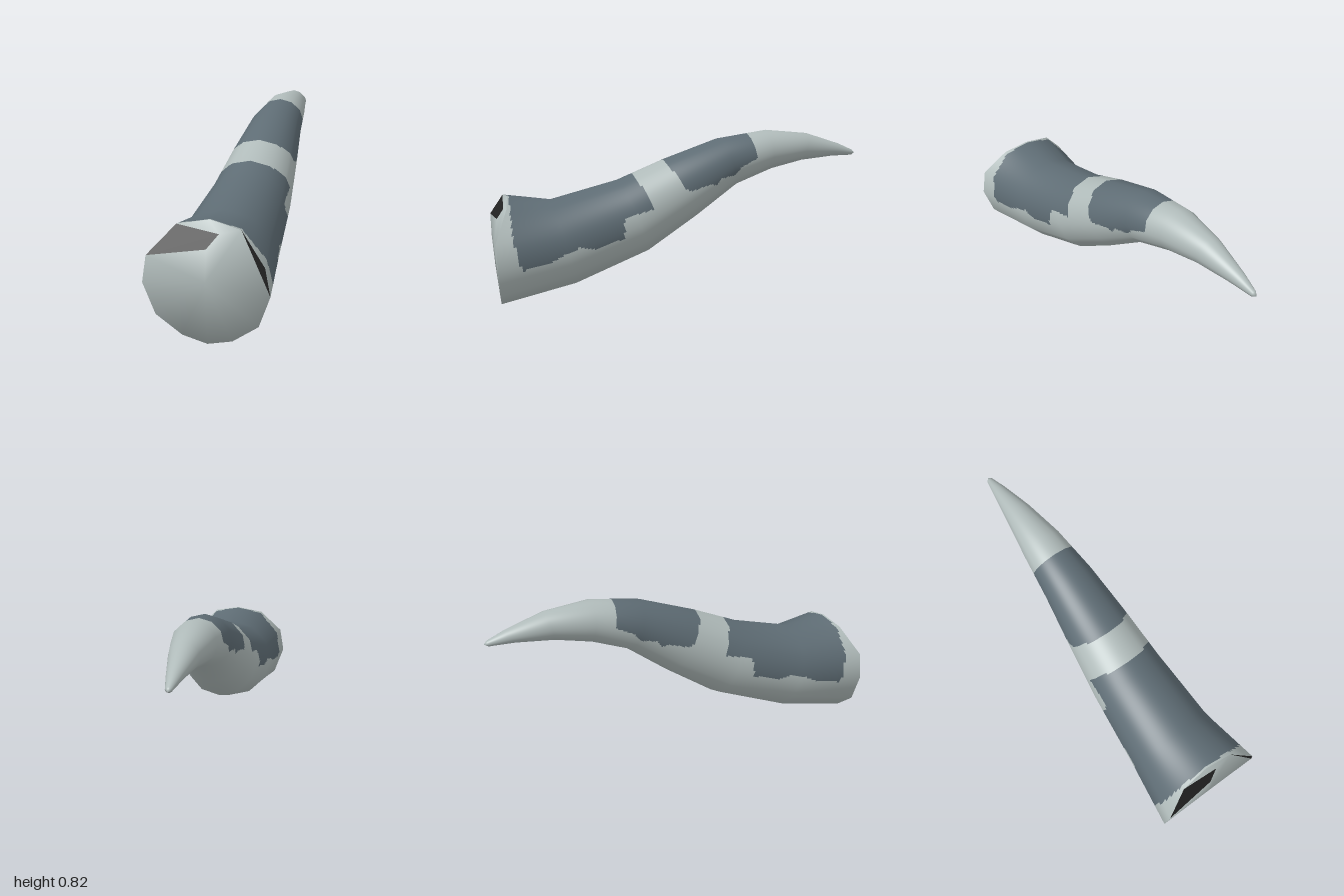
import * as THREE from 'three';

const SIDES = 12, ALONG = 24, AROUND = 12;

// Tail cross-sections: [top z, top y, bottom z, bottom y, half width]
const SECTIONS = [
  [0.92, 0.56, 0.985, 0, 0.288],
  [0.70, 0.525, 0.60, 0.075, 0.238],
  [0.35, 0.605, 0.21, 0.215, 0.205],
  [0.10, 0.70, -0.06, 0.385, 0.176],
  [-0.20, 0.795, -0.28, 0.54, 0.142],
  [-0.46, 0.825, -0.48, 0.61, 0.113],
  [-0.70, 0.795, -0.66, 0.645, 0.075],
  [-0.90, 0.725, -0.85, 0.658, 0.038],
  [-0.985, 0.685, -0.98, 0.656, 0.016],
  [-1, 0.668, -1, 0.668, 0],
];

// Half of the base rim, from bottom to top: [x, y]
const RIM = [[0, 0], [0.115, 0.03], [0.235, 0.12], [0.288, 0.27], [0.265, 0.40], [0.145, 0.532], [0, 0.56]];

// Outlines of the two saddle patches, seen from the side: [z, y]
const PATCHES = [
  [[0.915, 0.7], [0.915, 0.54], [0.92, 0.46], [0.905, 0.32], [0.88, 0.25], [0.72, 0.28], [0.69, 0.30], [0.6, 0.33],
    [0.52, 0.31], [0.37, 0.35], [0.36, 0.45], [0.21, 0.485], [0.24, 0.57], [0.278, 0.63], [0.28, 0.75]],
  [[0.115, 0.8], [0.107, 0.69], [0.06, 0.62], [0.02, 0.56], [-0.01, 0.565], [-0.1, 0.585], [-0.14, 0.575],
    [-0.16, 0.61], [-0.25, 0.62], [-0.28, 0.66], [-0.37, 0.70], [-0.355, 0.8], [-0.35, 0.9]],
];

function inside(poly, z, y) {
  let hit = false;
  poly.forEach(([z1, y1], i) => {
    const [z2, y2] = poly[(i + 1) % poly.length];
    if ((y1 > y) !== (y2 > y) && z < z1 + ((y - y1) * (z2 - z1)) / (y2 - y1)) hit = !hit;
  });
  return hit;
}

// The front end is upright, with its upper part leaning back
const frontZ = (y) => (y > 0.4 ? 1 - (y - 0.4) * 0.5 : 0.985 + 0.015 * Math.min(1, y / 0.2));

function sectionPoint(i, j) {
  if (i === 0) {
    const [x, y] = RIM[j <= 6 ? j : 12 - j];
    return [j <= 6 ? x : -x, y, frontZ(y)];
  }
  const [tz, ty, bz, by, w] = SECTIONS[i];
  const a = (j / SIDES) * Math.PI * 2, t = (1 - Math.cos(a)) / 2;
  return [w * Math.sin(a), by + (ty - by) * t, bz + (tz - bz) * t];
}

function makeGeometry(positions, index) {
  const g = new THREE.BufferGeometry();
  g.setAttribute('position', new THREE.Float32BufferAttribute(positions, 3));
  g.setIndex(index);
  g.computeVertexNormals();
  return g;
}

// Twelve-sided tube through the cross-sections
function coarseTail() {
  const pos = [], index = [];
  for (let i = 0; i < SECTIONS.length; i++) {
    for (let j = 0; j < SIDES; j++) pos.push(...sectionPoint(i, j));
  }
  for (let i = 0; i < SECTIONS.length - 1; i++) {
    for (let j = 0; j < SIDES; j++) {
      const k = (j + 1) % SIDES, a = i * SIDES, b = a + SIDES;
      index.push(a + j, b + j, b + k, a + j, b + k, a + k);
    }
  }
  const g = makeGeometry(pos, index);
  const last = (SECTIONS.length - 1) * SIDES;
  for (let j = 0; j < SIDES; j++) g.attributes.normal.setXYZ(last + j, 0, 0, -1);
  return g;
}

// Finely divided copy of the tube, so that the patches can have ragged edges
function fineTail() {
  const coarse = coarseTail();
  const rows = (SECTIONS.length - 1) * ALONG, cols = SIDES * AROUND;
  const pos = [], nor = [], light = [], dark = [];
  const sample = (attr, r, c) => {
    const i = Math.min(Math.floor(r / ALONG), SECTIONS.length - 2), u = r / ALONG - i;
    const j = Math.floor(c / AROUND), v = (c % AROUND) / AROUND, k = (j + 1) % SIDES;
    const at = (s, q) => new THREE.Vector3().fromBufferAttribute(attr, s * SIDES + q);
    return at(i, j).lerp(at(i, k), v).lerp(at(i + 1, j).lerp(at(i + 1, k), v), u);
  };
  for (let r = 0; r <= rows; r++) {
    for (let c = 0; c < cols; c++) {
      pos.push(...sample(coarse.attributes.position, r, c).toArray());
      nor.push(...sample(coarse.attributes.normal, r, c).normalize().toArray());
    }
  }
  for (let r = 0; r < rows; r++) {
    for (let c = 0; c < cols; c++) {
      const a = r * cols + c, b = r * cols + ((c + 1) % cols);
      const y = (pos[a * 3 + 1] + pos[(b + cols) * 3 + 1]) / 2;
      const z = (pos[a * 3 + 2] + pos[(b + cols) * 3 + 2]) / 2;
      const list = PATCHES.some((p) => inside(p, z, y)) ? dark : light;
      list.push(a, a + cols, b + cols, a, b + cols, b);
    }
  }
  const g = makeGeometry(pos, light.concat(dark));
  g.setAttribute('normal', new THREE.Float32BufferAttribute(nor, 3));
  g.addGroup(0, light.length, 0);
  g.addGroup(light.length, dark.length, 1);
  return g;
}

// Front cover with two gaps near its upper edge
function frontCover() {
  const mirrored = RIM.slice(1, 5).reverse().map(([x, y]) => [-x, y]);
  const loop = [RIM[0], RIM[1], RIM[2], RIM[3], RIM[5], [0.05, 0.508], [0, 0.445], ...mirrored];
  const n = loop.length;
  const points = [...loop, [0, 0.30], RIM[6], [-0.145, 0.532]];
  const pos = [], nor = [], index = [];
  for (const [x, y] of points) {
    pos.push(x, y, frontZ(y));
    nor.push(...new THREE.Vector3(x, y - 0.3, 0.26).normalize().toArray());
  }
  for (let i = 0; i < n; i++) index.push(n, i, (i + 1) % n);
  index.push(4, n + 1, 5, n + 1, n + 2, 5);
  const g = makeGeometry(pos, index);
  g.setAttribute('normal', new THREE.Float32BufferAttribute(nor, 3));
  return g;
}

// Black plates filling the two gaps of the cover
function gapPlates() {
  const outline = [
    [-0.265, 0.40], [0, 0.445], [0.05, 0.508], [-0.145, 0.532],
    RIM[3], RIM[4], RIM[5],
  ];
  const pos = outline.flatMap(([x, y]) => [x, y, frontZ(y)]);
  return makeGeometry(pos, [0, 1, 2, 0, 2, 3, 4, 5, 6]);
}

export function createModel() {
  const material = (name, color) => {
    const m = new THREE.MeshStandardMaterial({ color });
    m.name = name;
    return m;
  };
  const pale = material('paleGrey', 0xb0bbba);
  const slate = material('slateBlue', 0x5e6c74);
  const black = material('black', 0x222222);
  black.side = THREE.DoubleSide;

  const group = new THREE.Group();
  group.name = 'tail';
  const add = (name, geometry, mat) => {
    const mesh = new THREE.Mesh(geometry, mat);
    mesh.name = name;
    group.add(mesh);
  };

  add('tailSkin', fineTail(), [pale, slate]);
  add('frontCover', frontCover(), pale);
  add('gapPlates', gapPlates(), black);
  return group;
}
